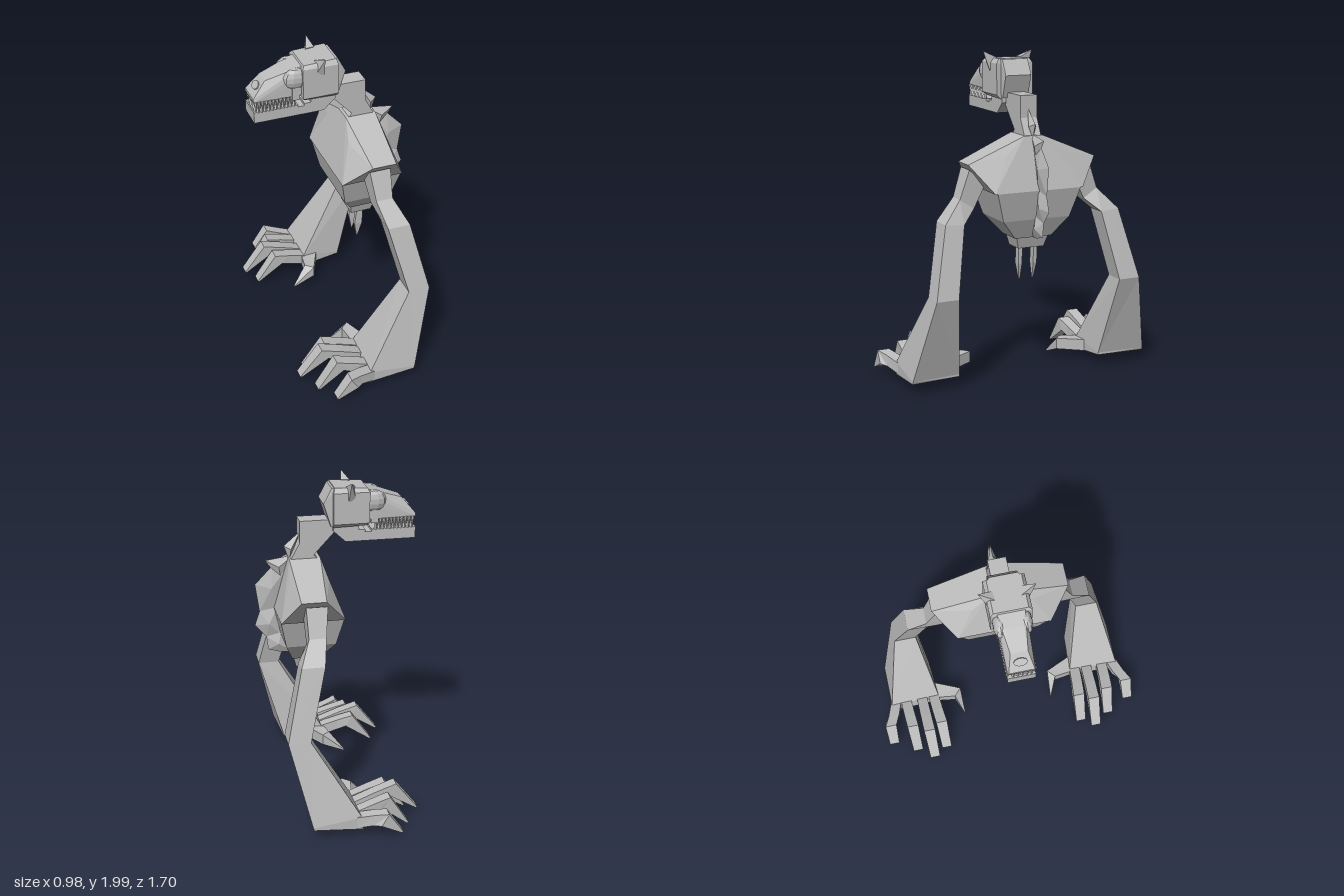
import * as THREE from 'three';
import { ConvexGeometry } from 'three/addons/geometries/ConvexGeometry.js';

const bone = new THREE.MeshStandardMaterial({ color: 0xbdbdbd, flatShading: true });
bone.name = 'pale grey';

const mesh = (name, geometry) => {
  const m = new THREE.Mesh(geometry, bone);
  m.name = name;
  return m;
};
const mirror = (points, s) => points.map(([x, y, z]) => [x, y, z * s]);
const hull = (name, points) =>
  mesh(name, new ConvexGeometry(points.map((p) => new THREE.Vector3(...p))));
// hull of points given for z > 0, repeated on the other side
const symmetricHull = (name, points) => hull(name, [...points, ...mirror(points, -1)]);

// closed skin over a row of equal-sized sections, always turned outwards
function loft(name, sections) {
  const n = sections[0].length, tris = [];
  const tri = (a, b, c) => tris.push([a, b, c]);
  for (let i = 0; i + 1 < sections.length; i++) {
    const a = sections[i], b = sections[i + 1];
    for (let j = 0; j < n; j++) {
      const k = (j + 1) % n;
      tri(a[j], a[k], b[k]);
      tri(a[j], b[k], b[j]);
    }
  }
  const first = sections[0], last = sections[sections.length - 1];
  for (let j = 1; j + 1 < n; j++) {
    tri(first[0], first[j + 1], first[j]);
    tri(last[0], last[j], last[j + 1]);
  }
  let volume = 0;
  for (const [a, b, c] of tris) {
    volume += a[0] * (b[1] * c[2] - b[2] * c[1]) - a[1] * (b[0] * c[2] - b[2] * c[0])
      + a[2] * (b[0] * c[1] - b[1] * c[0]);
  }
  const flat = tris.flatMap(([a, b, c]) => (volume < 0 ? [a, c, b] : [a, b, c])).flat();
  const g = new THREE.BufferGeometry();
  g.setAttribute('position', new THREE.Float32BufferAttribute(flat, 3));
  g.computeVertexNormals();
  return mesh(name, g);
}

// side profile in x, y with thickness along z
function slab(name, profile, halfWidth) {
  const shape = new THREE.Shape(profile.map((p) => new THREE.Vector2(...p)));
  const g = new THREE.ExtrudeGeometry(shape, { depth: halfWidth * 2, bevelEnabled: false });
  return mesh(name, g.translate(0, 0, -halfWidth));
}

function createTorso() {
  const g = new THREE.Group();
  g.name = 'torso';
  g.add(symmetricHull('chest', [
    [0.09, 1.52, 0.06], [0.28, 1.52, 0.06], [0.06, 1.42, 0.18], [0.3, 1.42, 0.18],
    [0.12, 1.37, 0.42], [0.27, 1.37, 0.42], [-0.02, 1.2, 0.29], [0.37, 1.2, 0.29],
  ]));
  const ring = (y, x0, x1, z) => [[x0, y, z], [x1, y, z], [x1, y, -z], [x0, y, -z]];
  g.add(loft('belly', [ring(1.2, -0.015, 0.37, 0.275), ring(1.02, 0.025, 0.33, 0.22),
    ring(0.9, 0.1, 0.28, 0.12)]));
  g.add(loft('pelvis', [ring(0.9, 0.11, 0.27, 0.105), ring(0.83, 0.12, 0.25, 0.085)]));
  // hanging pelvic spikes
  for (const s of [1, -1]) {
    const cut = (y, x, hx, z, hz) =>
      mirror([[x - hx, y, z - hz], [x + hx, y, z - hz], [x + hx, y, z + hz], [x - hx, y, z + hz]], s);
    g.add(loft('pelvicSpike', [cut(0.84, 0.19, 0.02, 0.05, 0.013),
      cut(0.72, 0.18, 0.025, 0.05, 0.012), cut(0.62, 0.177, 0.004, 0.045, 0.004)]));
  }
  return g;
}

function createSpine() {
  const g = new THREE.Group();
  g.name = 'spine';
  g.add(slab('neck', [[0, 1.68], [0.13, 1.54], [0.09, 1.5], [0.28, 1.5], [0.215, 1.62],
    [0.215, 1.755], [0.03, 1.755]], 0.055));
  // back scales: two root points, then the outer points
  const scales = [
    [[0.2, 1.68], [0.27, 1.5], [0.305, 1.59], [0.28, 1.52]],
    [[0.24, 1.53], [0.32, 1.36], [0.42, 1.505], [0.38, 1.465]],
    [[0.27, 1.47], [0.34, 1.18], [0.38, 1.465], [0.485, 1.355], [0.46, 1.18]],
    [[0.34, 1.22], [0.31, 1.0], [0.46, 1.18], [0.49, 1.09], [0.42, 1.01]],
    [[0.32, 1.08], [0.25, 0.9], [0.42, 1.01], [0.41, 0.925], [0.33, 0.9]],
  ];
  for (const points of scales) {
    const cx = points.reduce((t, p) => t + p[0], 0) / points.length;
    const cy = points.reduce((t, p) => t + p[1], 0) / points.length;
    g.add(hull('backScale', [...points.map(([x, y]) => [x, y, 0]), [cx, cy, 0.025], [cx, cy, -0.025]]));
  }
  return g;
}

function createHead() {
  const g = new THREE.Group();
  g.name = 'head';
  g.add(symmetricHull('cranium', [
    [-0.2, 1.74, 0.12], [0.02, 1.74, 0.12], [-0.2, 1.93, 0.12], [0.02, 1.93, 0.12],
    [-0.19, 1.95, 0.1], [0.01, 1.96, 0.1], [-0.18, 1.72, 0.095], [0.02, 1.715, 0.095],
  ]));
  g.add(symmetricHull('backOfSkull', [
    [0, 1.72, 0.095], [0, 1.955, 0.095], [0.025, 1.955, 0.085], [0.075, 1.86, 0.085], [0.03, 1.72, 0.085],
  ]));
  g.add(symmetricHull('snout', [
    [-0.49, 1.755, 0.08], [-0.19, 1.755, 0.09], [-0.49, 1.775, 0.075], [-0.41, 1.87, 0.05],
    [-0.28, 1.915, 0.055], [-0.19, 1.94, 0.08], [-0.3, 1.85, 0.085], [-0.19, 1.85, 0.09],
  ]));
  g.add(slab('jaw', [[-0.49, 1.62], [-0.06, 1.62], [0.015, 1.69], [0.015, 1.73], [-0.14, 1.73],
    [-0.14, 1.69], [-0.18, 1.69], [-0.18, 1.675], [-0.22, 1.675], [-0.22, 1.69], [-0.49, 1.69]], 0.082));
  // nasal opening, seated on the sloping snout
  const nose = mesh('nasalOpening', new THREE.CylinderGeometry(0.04, 0.04, 0.012, 10));
  nose.position.set(-0.449, 1.825, 0);
  nose.rotation.z = 0.87;
  nose.scale.x = 0.65;
  g.add(nose);
  for (const s of [1, -1]) {
    const eye = mesh('eye', new THREE.SphereGeometry(1, 10, 7));
    eye.position.set(-0.23, 1.865, 0.075 * s);
    eye.scale.set(0.08, 0.068, 0.038);
    g.add(eye);
    g.add(hull('ear', mirror([[-0.12, 1.88, 0.11], [-0.07, 1.88, 0.125], [-0.115, 1.96, 0.075],
      [-0.06, 1.96, 0.08], [-0.08, 2, 0.165]], s)));
    const cheek = mesh('cheekBone', new THREE.BoxGeometry(0.045, 0.09, 0.02));
    cheek.position.set(-0.235, 1.775, 0.085 * s);
    g.add(cheek);
  }
  // upper and lower teeth along both sides and across the front
  const tooth = new THREE.ConeGeometry(0.012, 0.06, 4);
  const addTooth = (x, z, upper) => {
    const t = mesh(upper ? 'upperTooth' : 'lowerTooth', tooth);
    t.position.set(x, upper ? 1.727 : 1.718, z);
    if (upper) t.rotation.x = Math.PI;
    g.add(t);
  };
  for (const upper of [true, false]) {
    const shift = upper ? 0 : 0.011;
    for (let i = 0; i < 11; i++) {
      for (const s of [1, -1]) addTooth(-0.475 + i * 0.022 + shift, 0.077 * s, upper);
    }
    for (let i = -2; i <= 2; i++) addTooth(-0.475, i * 0.026 + shift * 0.5, upper);
  }
  return g;
}

function createArm(s) {
  const g = new THREE.Group();
  g.name = s > 0 ? 'leftArm' : 'rightArm';
  const add = (name, sections) => g.add(loft(name, sections.map((c) => mirror(c, s))));
  // front and back x, then outer and inner edges as [y, z]
  const cut = (f, b, [yo, zo], [yi, zi]) => [[f, yo, zo], [b, yo, zo], [b, yi, zi], [f, yi, zi]];
  add('armBone', [
    cut(0.11, 0.24, [1.335, 0.4], [1.24, 0.3]),
    cut(0.13, 0.235, [1.16, 0.46], [1.1, 0.37]),
    cut(0.16, 0.3, [1.03, 0.58], [1.02, 0.46]),
    cut(0.265, 0.4, [0.6, 0.68], [0.6, 0.54]),
    [[-0.02, 0.13, 0.785], [0.275, 0.09, 0.79], [0.25, 0.09, 0.48], [-0.01, 0.13, 0.46]],
    [[-0.03, 0.05, 0.785], [0.27, 0.075, 0.79], [0.25, 0.075, 0.48], [-0.02, 0.05, 0.46]],
  ]);
  // fingers: root z, knuckle [x, y, z], claw tip [x, y, z]
  const fingers = [
    [0.75, [-0.17, 0.17, 0.815], [-0.26, 0.04, 0.815]],
    [0.685, [-0.21, 0.2, 0.67], [-0.33, 0.01, 0.665]],
    [0.575, [-0.27, 0.23, 0.565], [-0.41, 0.05, 0.56]],
    [0.495, [-0.22, 0.2, 0.475], [-0.35, 0.02, 0.47]],
  ];
  for (const [rz, [kx, ky, kz], [tx, ty, tz]] of fingers) {
    const bar = (x0, y0, x1, y1, z, w) =>
      [[x0, y0, z + w], [x0, y0, z - w], [x1, y1, z - w], [x1, y1, z + w]];
    add('finger', [
      bar(0.01, 0.13, 0.01, 0.06, rz, 0.035),
      bar(kx * 0.55, 0.13 + (ky - 0.13) * 0.6, kx * 0.5, 0.085 + (ky - 0.17) * 0.5, (rz + kz) / 2, 0.036),
      bar(kx, ky, kx + 0.045, ky - 0.075, kz, 0.037),
      bar(tx, ty, tx + 0.012, ty - 0.004, tz, 0.032),
    ]);
  }
  // inner thumb with its hooked claw
  add('thumb', [
    [[-0.02, 0.13, 0.48], [0.09, 0.13, 0.48], [0.09, 0.055, 0.48], [-0.02, 0.055, 0.48]],
    [[-0.04, 0.14, 0.35], [0.01, 0.14, 0.305], [0.01, 0.07, 0.305], [-0.04, 0.06, 0.35]],
    [[-0.135, 0.025, 0.305], [-0.13, 0.025, 0.3], [-0.13, 0.015, 0.3], [-0.135, 0.015, 0.305]],
  ]);
  return g;
}

export function createModel() {
  const model = new THREE.Group();
  model.name = 'creature';
  model.add(createTorso(), createSpine(), createHead(), createArm(1), createArm(-1));
  return model;
}
